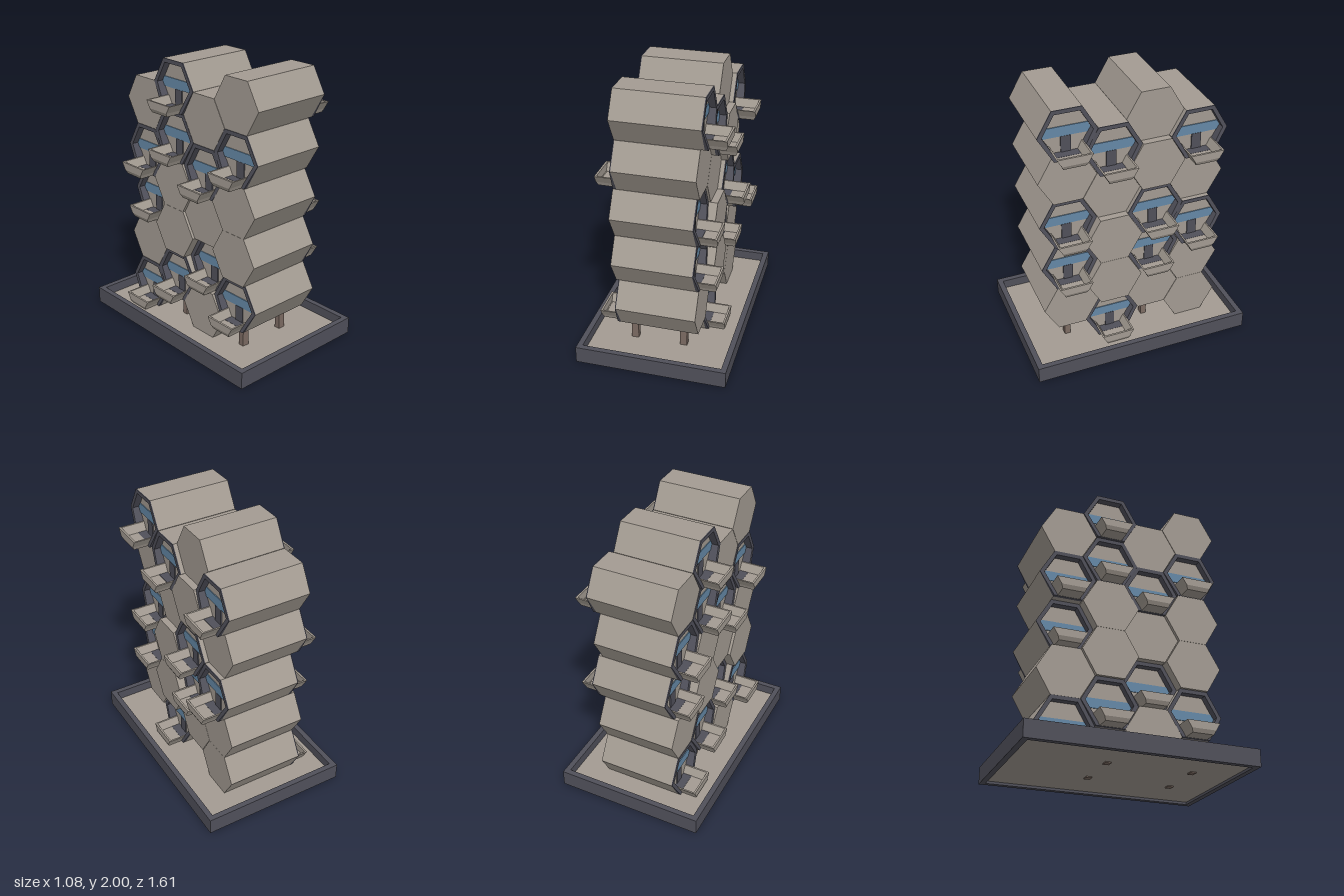
import * as THREE from 'three';

const mat = (color) => new THREE.MeshStandardMaterial({ color, flatShading: true });
const shellMat = mat(0xa39b92), frameMat = mat(0x50505a), glassMat = mat(0x6488a6);
const legMat = mat(0x7d6c63);

const R = 0.2046, HALF = R * Math.sqrt(3) / 2, ROW = 0.3555, RECESS = 0.05, LEAN = 0.018;

const hexPoints = (r) => Array.from({ length: 6 }, (_, i) =>
  new THREE.Vector2(r * Math.cos(i * Math.PI / 3), r * Math.sin(i * Math.PI / 3)));

const pts = (list) => list.map(([a, b]) => new THREE.Vector2(a, b));

// Prism with its outline in the zy plane, running from x0 to x1
function prism(points, x0, x1, hole) {
  const shape = new THREE.Shape(points);
  if (hole) shape.holes.push(new THREE.Path(hole));
  const g = new THREE.ExtrudeGeometry(shape, { depth: x1 - x0, bevelEnabled: false });
  return g.rotateY(Math.PI / 2).translate(x0, 0, 0);
}

function add(parent, name, geometry, material, x = 0, y = 0, z = 0) {
  const m = new THREE.Mesh(geometry, material);
  m.name = name;
  m.position.set(x, y, z);
  parent.add(m);
}

function bend(g, rule) {
  const p = g.attributes.position;
  for (let i = 0; i < p.count; i++) p.setX(i, rule(p.getX(i), p.getY(i)));
  g.computeVertexNormals();
  return g;
}

// Dark rim whose lower half leans outward
const rimGeo = bend(prism(hexPoints(R), -0.005, 0.002, hexPoints(0.172)),
  (x, y) => x > 0 ? x + Math.max(0, -y) / HALF * LEAN : x);
const collarGeo = prism(hexPoints(R), -RECESS, -0.005, hexPoints(0.19));
const linerGeo = prism(hexPoints(0.19), -RECESS, -0.005, hexPoints(0.172));
const glassGeo = prism(pts([[-0.17, 0], [-0.15, -0.035], [0.15, -0.035], [0.17, 0], [0.15, 0.035], [-0.15, 0.035]]),
  -RECESS, -RECESS + 0.006);
const doorGeo = new THREE.BoxGeometry(0.008, 0.115, 0.07);

// Balcony tub: tapered side walls and floor, then a parapet with chamfered foot
const tubGeo = prism(pts([[-0.122, -0.093], [-0.09, -0.147], [-0.078, -0.175], [0.078, -0.175], [0.09, -0.147],
  [0.122, -0.093], [0.11, -0.093], [0.08, -0.15], [-0.08, -0.15], [-0.11, -0.093]]), -RECESS, 0.126);
const parapetGeo = prism(pts([[-0.122, -0.093], [-0.09, -0.147], [0.09, -0.147], [0.122, -0.093]]), 0.126, 0.14);
const footGeo = bend(prism(pts([[-0.09, -0.147], [-0.078, -0.175], [0.078, -0.175], [0.09, -0.147]]), 0.12, 0.14),
  (x, y) => x > 0.13 && y < -0.17 ? x - 0.014 : x);

// Open cell end, facing +x
function openEnd() {
  const g = new THREE.Group();
  g.name = 'openEnd';
  add(g, 'rim', rimGeo, frameMat);
  add(g, 'collar', collarGeo, shellMat);
  add(g, 'liner', linerGeo, frameMat);
  add(g, 'windowBand', glassGeo, glassMat);
  add(g, 'door', doorGeo, frameMat, -RECESS + 0.004, -0.0925);
  add(g, 'balconyTub', tubGeo, shellMat);
  add(g, 'balconyParapet', parapetGeo, shellMat);
  add(g, 'balconyFoot', footGeo, shellMat);
  return g;
}

// Each cell lists [left (-x) end, right (+x) end]: 'F' open, 'f' open and set back, number = closed end
const columns = [
  { z: 0.462, top: 1.823, cells: [[0.285, 'F'], ['F', 0.287], [0.305, 'f'], [0.305, 'f'], ['F', 0.287]] },
  { z: 0.152, top: 1.645, cells: [[0.285, 'F'], ['F', 0.287], [0.285, 0.337], ['f', 0.337], [0.305, 'f']] },
  { z: -0.155, top: 1.823, cells: [['F', 0.287], ['F', 0.337], [0.305, 'F'], [0.305, 'f'], ['F', 0.287]] },
  { z: -0.465, top: 1.645, cells: [[0.285, 'F'], ['F', 0.287], ['f', 'F'], [0.285, 0.287], ['F', 0.287]] },
];

function cell(left, right) {
  const g = new THREE.Group();
  g.name = 'cell';
  const ends = [[left, -1, 0.285], [right, 1, 0.32]].map(([kind, side, full]) => {
    if (typeof kind === 'number') return side * kind;
    const face = kind === 'F' ? full : full - 0.05;
    const e = openEnd();
    e.position.x = side * face;
    if (side < 0) e.rotation.y = Math.PI;
    g.add(e);
    return side * (face - RECESS);
  });
  add(g, 'shell', prism(hexPoints(R), ends[0], ends[1]), shellMat);
  return g;
}

export function createModel() {
  const model = new THREE.Group();
  model.name = 'hexagonalApartmentTower';

  // Base tray
  const outline = (x, z) => pts([[-x, -z], [x, -z], [x, z], [-x, z]]);
  const rim = new THREE.Shape(outline(0.54, 0.807));
  rim.holes.push(new THREE.Path(outline(0.5, 0.767)));
  const rimGeometry = new THREE.ExtrudeGeometry(rim, { depth: 0.122, bevelEnabled: false }).rotateX(-Math.PI / 2);
  add(model, 'baseRim', rimGeometry, frameMat);
  add(model, 'baseFloor', new THREE.BoxGeometry(1.0, 0.035, 1.534), shellMat, 0, 0.0355, 0);

  // Legs under the raised columns
  for (const x of [-0.2, 0.16]) for (const z of [0.47, -0.14])
    add(model, 'leg', new THREE.BoxGeometry(0.052, 0.235, 0.042), legMat, x, 0.1275, z);

  // Stacked cells
  for (const { z, top, cells } of columns) {
    const column = new THREE.Group();
    column.name = 'cellColumn';
    cells.forEach(([l, r], i) => {
      const c = cell(l, r);
      c.position.set(0, top - i * ROW, z);
      column.add(c);
    });
    model.add(column);
  }
  return model;
}
